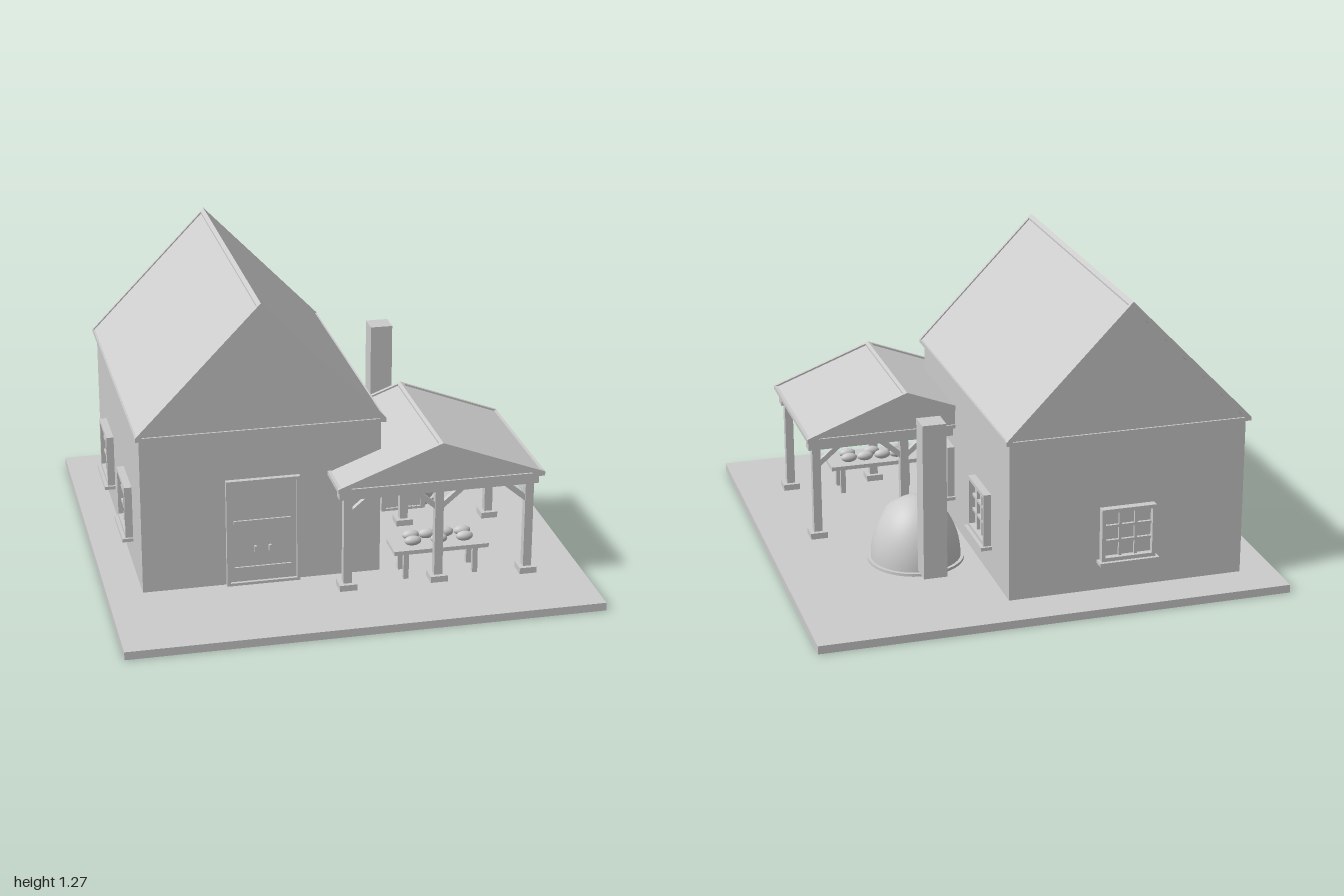
import * as THREE from 'three';

const stone = new THREE.MeshStandardMaterial({ color: 0xcccccc });
stone.name = 'plain light grey';

function add(parent, name, geometry, x = 0, y = 0, z = 0) {
  const mesh = new THREE.Mesh(geometry, stone);
  mesh.name = name;
  mesh.position.set(x, y, z);
  parent.add(mesh);
  return mesh;
}

// Box given by its lower and upper limits
function block(parent, name, x0, x1, y0, y1, z0, z1) {
  return add(parent, name, new THREE.BoxGeometry(x1 - x0, y1 - y0, z1 - z0),
    (x0 + x1) / 2, (y0 + y1) / 2, (z0 + z1) / 2);
}

function group(parent, name) {
  const g = new THREE.Group();
  g.name = name;
  parent.add(g);
  return g;
}

const polygon = (pts) => new THREE.Shape(pts.map(([x, y]) => new THREE.Vector2(x, y)));

function slab(parent, name, shape, z0, z1) {
  const geometry = new THREE.ExtrudeGeometry(shape, { depth: z1 - z0, bevelEnabled: false, curveSegments: 16 });
  return add(parent, name, geometry, 0, 0, z0);
}

// Gable roof with raised verge frames, ridge and eave trims
function gableRoof(parent, name, { x0, x1, y0, yEave, yRidge, z0, z1, trim, hollow }) {
  const g = group(parent, name);
  const c = (x0 + x1) / 2;
  const slope = (yRidge - yEave) / (c - x0);
  const e = 0.008, d = 0.008, v = 0.016;
  const outline = [[x0, y0], [x1, y0], [x1, yEave], [c, yRidge], [x0, yEave]];
  const yE = yEave + slope * e - d;

  // Verge frames
  const frame = polygon(outline);
  const yIn = y0 + 0.015;
  const yTop = yRidge - trim;
  const half = (yTop - yIn) / slope;
  frame.holes.push(polygon([[c - half, yIn], [c, yTop], [c + half, yIn]]));
  slab(g, 'frontVerge', frame, z1 - v, z1);
  slab(g, 'backVerge', frame, z0, z0 + v);

  // Covering and gable panels
  const body = [[x0 + e, y0], [x1 - e, y0], [x1 - e, yE], [c, yRidge - d], [x0 + e, yE]];
  if (hollow) {
    const t = 0.014;
    slab(g, 'covering', polygon([[x0 + e, yE - t], [c, yRidge - d - t], [x1 - e, yE - t],
      [x1 - e, yE], [c, yRidge - d], [x0 + e, yE]]), z0 + 0.006, z1 - 0.006);
    slab(g, 'frontGable', polygon(body), z1 - 0.02, z1 - 0.008);
    slab(g, 'backGable', polygon(body), z0 + 0.008, z0 + 0.02);
  } else {
    slab(g, 'roofBody', polygon(body), z0 + 0.008, z1 - 0.008);
  }

  // Eaves and ridge
  block(g, 'rightEave', x0, x0 + 0.014, y0, yEave, z0 + v, z1 - v);
  block(g, 'leftEave', x1 - 0.014, x1, y0, yEave, z0 + v, z1 - v);
  slab(g, 'ridge', polygon([[c - 0.014, yRidge - 0.014 * slope], [c - 0.014, yRidge - 0.02 - 0.014 * slope],
    [c, yRidge - 0.02], [c + 0.014, yRidge - 0.02 - 0.014 * slope],
    [c + 0.014, yRidge - 0.014 * slope], [c, yRidge]]), z0 + v, z1 - v);
}

// Nine-pane window facing local +z
function windowUnit(parent, x, z, turn) {
  const g = group(parent, 'window');
  g.position.set(x, 0, z);
  g.rotation.y = turn;
  const w = 0.117, lo = 0.17, hi = 0.4, b = 0.016, out = 0.032;
  block(g, 'pane', -w + b, w - b, lo + b, hi - b, -0.01, 0.006);
  for (const s of [-1, 1]) {
    const a = s * w, i = s * (w - b);
    block(g, 'jamb', Math.min(a, i), Math.max(a, i), lo, hi, -0.01, out);
  }
  block(g, 'head', -w + b, w - b, hi - b, hi, -0.01, out);
  block(g, 'bottomRail', -w + b, w - b, lo, lo + b, -0.01, out);
  block(g, 'sill', -0.128, 0.128, 0.155, lo, -0.01, 0.047);
  for (const s of [-1, 1]) {
    const cx = s * (w - b) / 3, cy = (lo + hi) / 2 + s * (hi - lo - 2 * b) / 6;
    block(g, 'verticalBar', cx - 0.006, cx + 0.006, lo + b, hi - b, 0, 0.018);
    block(g, 'horizontalBar', -w + b, w - b, cy - 0.006, cy + 0.006, 0, 0.018);
  }
}

function buildHouse(root) {
  const house = group(root, 'house');
  block(house, 'walls', -0.85, 0.162, 0.035, 0.722, -0.815, 0.495);
  gableRoof(house, 'mainRoof', { x0: -0.866, x1: 0.18, y0: 0.718, yEave: 0.735, yRidge: 1.275, z0: -0.835, z1: 0.512, trim: 0.03 });

  // Double door
  const door = group(house, 'door');
  block(door, 'doorPanel', -0.485, -0.195, 0.04, 0.5, 0.49, 0.503);
  block(door, 'rightJamb', -0.497, -0.483, 0.035, 0.51, 0.49, 0.517);
  block(door, 'leftJamb', -0.199, -0.185, 0.035, 0.51, 0.49, 0.517);
  block(door, 'lintel', -0.483, -0.199, 0.496, 0.51, 0.49, 0.517);
  block(door, 'threshold', -0.483, -0.199, 0.035, 0.047, 0.49, 0.517);
  for (const y of [0.108, 0.32]) block(door, 'doorRail', -0.465, -0.222, y - 0.007, y + 0.007, 0.5, 0.511);
  for (const x of [-0.375, -0.313]) block(door, 'handle', x - 0.005, x + 0.005, 0.183, 0.208, 0.5, 0.517);

  // Windows on both sides and the back
  for (const z of [0.118, -0.442]) {
    windowUnit(house, 0.162, z, Math.PI / 2);
    windowUnit(house, -0.85, z, -Math.PI / 2);
  }
  windowUnit(house, -0.342, -0.815, Math.PI);
}

function archShape(cx, half, y0, yTop) {
  const s = new THREE.Shape();
  s.moveTo(cx - half, y0);
  s.lineTo(cx + half, y0);
  s.lineTo(cx + half, yTop - half);
  s.absarc(cx, yTop - half, half, 0, Math.PI, false);
  s.closePath();
  return s;
}

function buildOven(root) {
  const oven = group(root, 'oven');
  const x = 0.415, z = -0.283;
  add(oven, 'ovenBase', new THREE.CylinderGeometry(0.206, 0.206, 0.012, 40), x, 0.041, z);
  // Domed shell
  const profile = [];
  for (let i = 0; i <= 16; i++) {
    const a = i / 16 * Math.PI / 2;
    profile.push(new THREE.Vector2(0.192 * Math.cos(a), 0.275 * Math.sin(a)));
  }
  profile[16].x = 0;
  add(oven, 'dome', new THREE.LatheGeometry(profile, 40), x, 0.04, z);
  // Arched mouth and its door
  const arch = archShape(x, 0.1, 0.035, 0.226);
  arch.holes.push(archShape(x, 0.08, 0.046, 0.206));
  slab(oven, 'mouthArch', arch, -0.116, -0.079);
  slab(oven, 'ovenDoor', archShape(x, 0.082, 0.044, 0.208), -0.112, -0.09);
  block(oven, 'doorHandle', x - 0.018, x + 0.018, 0.12, 0.13, -0.092, -0.074);
  block(root, 'chimney', 0.366, 0.466, 0.08, 0.755, -0.612, -0.515);
}

function buildPavilion(root) {
  const pavilion = group(root, 'pavilion');
  gableRoof(pavilion, 'pavilionRoof', { x0: -0.065, x1: 0.815, y0: 0.495, yEave: 0.513, yRidge: 0.68, z0: -0.017, z1: 0.697, trim: 0.022, hollow: true });

  const xs = [-0.012, 0.378, 0.767];
  for (const z of [0.629, 0.053]) {
    block(pavilion, 'crossBeam', -0.05, 0.802, 0.445, 0.497, z - 0.027, z + 0.027);
    xs.forEach((x, i) => {
      block(pavilion, 'postBase', x - 0.037, x + 0.037, 0.035, 0.062, z - 0.037, z + 0.037);
      block(pavilion, 'post', x - 0.018, x + 0.018, 0.06, 0.446, z - 0.018, z + 0.018);
      // Diagonal braces
      for (const s of [-1, 1]) {
        if ((i === 0 && s < 0) || (i === 2 && s > 0)) continue;
        const brace = add(pavilion, 'brace', new THREE.BoxGeometry(0.022, 0.14, 0.022), x + s * 0.056, 0.409, z);
        brace.rotation.z = -s * 0.87;
      }
    });
  }
  for (const x of xs) block(pavilion, 'sideBeam', x - 0.015, x + 0.015, 0.455, 0.482, 0.07, 0.61);
}

function buildTable(root) {
  const table = group(root, 'table');
  block(table, 'tableTop', 0.195, 0.605, 0.152, 0.17, 0.477, 0.617);
  for (const x of [0.25, 0.55]) {
    for (const z of [0.5, 0.594]) block(table, 'tableLeg', x - 0.011, x + 0.011, 0.035, 0.153, z - 0.011, z + 0.011);
    block(table, 'legRail', x - 0.009, x + 0.009, 0.135, 0.153, 0.5, 0.594);
  }
  // Two rows of loaves
  const rows = [[0.574, [0.285, 0.398, 0.51]], [0.517, [0.29, 0.36, 0.44, 0.515]]];
  for (const [z, xs] of rows) {
    for (const x of xs) add(table, 'loaf', new THREE.SphereGeometry(1, 16, 10), x, 0.195, z).scale.set(0.037, 0.021, 0.021);
  }
}

export function createModel() {
  const root = new THREE.Group();
  root.name = 'bakeryYard';
  block(root, 'ground', -1, 1, 0, 0.035, -1, 1);
  buildHouse(root);
  buildOven(root);
  buildPavilion(root);
  buildTable(root);
  return root;
}
